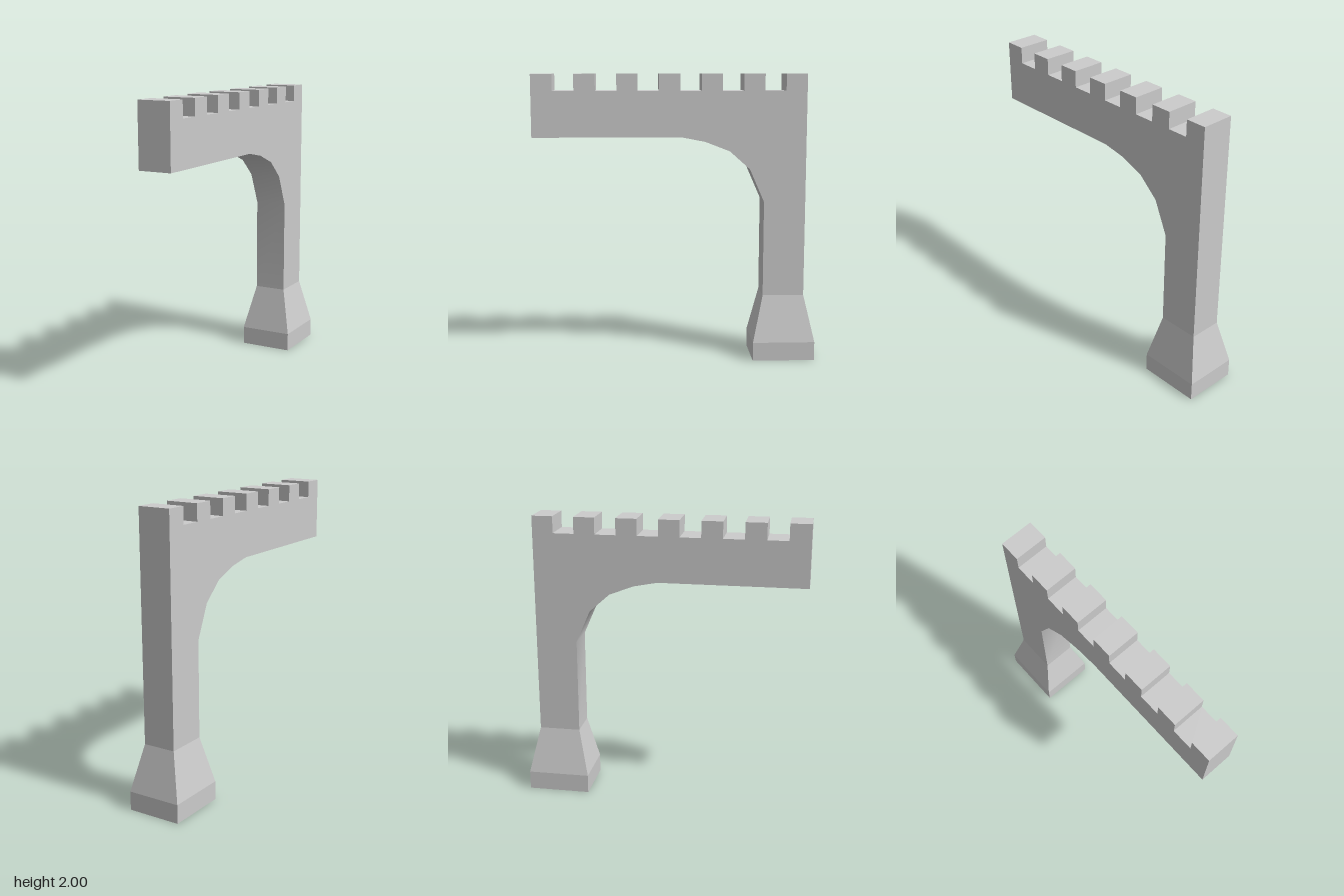
import * as THREE from 'three';
import { toCreasedNormals } from 'three/addons/utils/BufferGeometryUtils.js';

const FRONT = 0.98, BACK = -0.903, INNER = -0.615; // z of the wall ends and the pillar's inner face
const TOP = 2, NOTCH = 1.885, SOFFIT = 1.57;
const WIDTH = 0.23;
const FLARE_TOP = 0.455, PLINTH_TOP = 0.13;

export function createModel() {
  const group = new THREE.Group();
  const material = new THREE.MeshStandardMaterial({ color: 0xcccccc });
  const add = (name, geometry, x = 0, y = 0, z = 0) => {
    const mesh = new THREE.Mesh(geometry, material);
    mesh.name = name;
    mesh.position.set(x, y, z);
    group.add(mesh);
  };

  // Side profile (z, y): pillar, half arch, beam and battlements
  const profile = [
    [BACK, FLARE_TOP], [INNER, FLARE_TOP],
    [INNER, 1.12], [-0.515, 1.347], [-0.375, 1.472], [-0.205, 1.538], [-0.04, SOFFIT],
    [FRONT, SOFFIT],
  ];
  // Seven merlons and six gaps of equal width
  const merlons = 7;
  const step = (FRONT - BACK) / (merlons * 2 - 1);
  for (let i = 0; i < merlons; i++) {
    const z = FRONT - i * 2 * step;
    if (i > 0) profile.push([z, NOTCH]);
    profile.push([z, TOP], [z - step, TOP]);
    if (i < merlons - 1) profile.push([z - step, NOTCH]);
  }
  const shape = new THREE.Shape(profile.map(([z, y]) => new THREE.Vector2(z, y)));
  const wall = new THREE.ExtrudeGeometry(shape, { depth: WIDTH, bevelEnabled: false });
  wall.translate(0, 0, -WIDTH / 2).rotateY(-Math.PI / 2);
  add('archedWall', toCreasedNormals(wall, 0.52));

  // Pillar foot: straight plinth with a tapering block above
  const baseX = 0.38, baseZ = 0.434;
  const footZ = (BACK + INNER) / 2;
  add('plinth', new THREE.BoxGeometry(baseX, PLINTH_TOP, baseZ), 0, PLINTH_TOP / 2, footZ);

  const height = FLARE_TOP - PLINTH_TOP;
  const flare = new THREE.BoxGeometry(baseX, height, baseZ).toNonIndexed();
  const p = flare.attributes.position;
  for (let i = 0; i < p.count; i++) {
    if (p.getY(i) > 0) {
      p.setX(i, p.getX(i) * WIDTH / baseX);
      p.setZ(i, p.getZ(i) * (INNER - BACK) / baseZ);
    }
  }
  flare.computeVertexNormals();
  add('flaredFoot', flare, 0, PLINTH_TOP + height / 2, footZ);

  return group;
}
